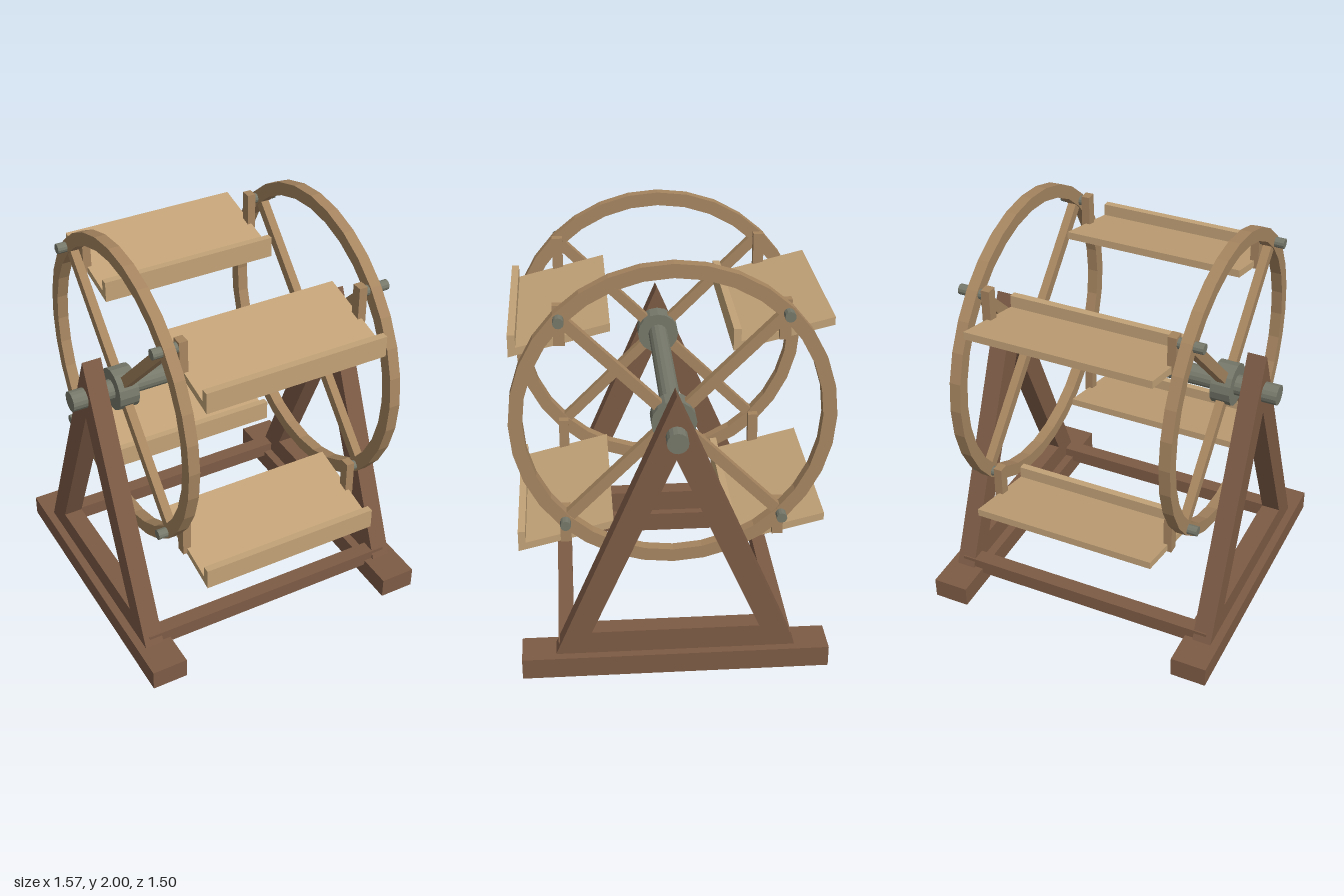
import * as THREE from 'three';

const mat = (color) => new THREE.MeshStandardMaterial({ color, flatShading: true });

export function createModel() {
  const root = new THREE.Group();
  const darkWood = mat(0x7d5b45), wood = mat(0xa68560), paleWood = mat(0xc2a277), metal = mat(0x76786a);
  const AXLE_Y = 1.25, PIN = 0.507;

  const add = (parent, name, geo, material, x = 0, y = 0, z = 0) => {
    const m = new THREE.Mesh(geo, material);
    m.name = name;
    m.position.set(x, y, z);
    parent.add(m);
    return m;
  };
  const box = (parent, name, material, w, h, d, x, y, z) =>
    add(parent, name, new THREE.BoxGeometry(w, h, d), material, x, y, z);
  // Cylinder lying along x
  const rod = (parent, name, r, len, sides, x, y, z) =>
    add(parent, name, new THREE.CylinderGeometry(r, r, len, sides).rotateZ(Math.PI / 2), metal, x, y, z);
  // Extrude a (z, y) outline along x, centred on x = 0
  const extrudeX = (shape, width) =>
    new THREE.ExtrudeGeometry(shape, { depth: width, bevelEnabled: false })
      .translate(0, 0, -width / 2).rotateY(-Math.PI / 2);
  const outline = (pts) => pts.map(([a, b]) => new THREE.Vector2(a, b));
  const circle = (r, n) => Array.from({ length: n }, (_, i) => {
    const a = Math.PI / 2 + (i / n) * Math.PI * 2;
    return new THREE.Vector2(Math.cos(a) * r, Math.sin(a) * r);
  });

  // Triangular trestle with an opening above its lower rail
  const trestle = new THREE.Shape(outline([[-0.575, 0.1], [0.575, 0.1], [0, 1.445]]));
  trestle.holes.push(new THREE.Path(outline([[-0.4, 0.22], [0, 1.13], [0.4, 0.22]])));
  const trestleGeo = extrudeX(trestle, 0.095);

  // Faceted wheel rim
  const rim = new THREE.Shape(circle(0.75, 32));
  rim.holes.push(new THREE.Path(circle(0.685, 32).reverse()));
  const rimGeo = extrudeX(rim, 0.055);

  // Sloping seat board with an upright front lip, relative to its pins
  const seatGeo = extrudeX(new THREE.Shape(outline([
    [0.23, -0.212], [0.23, -0.107], [0.195, -0.107], [0.195, -0.167], [-0.228, -0.062], [-0.228, -0.1],
  ])), 0.91);

  // Supports and wheels on both sides
  for (const s of [-1, 1]) {
    const support = new THREE.Group();
    support.name = 'sideSupport';
    root.add(support);
    box(support, 'foot', darkWood, 0.18, 0.105, 1.47, s * 0.66, 0.0525, 0);
    add(support, 'trestle', trestleGeo, darkWood, s * 0.662);

    const wheel = new THREE.Group();
    wheel.name = 'wheel';
    wheel.position.set(s * 0.522, AXLE_Y, 0);
    root.add(wheel);
    add(wheel, 'rim', rimGeo, wood);
    rod(wheel, 'hub', 0.105, 0.1, 16, 0, 0, 0);
    for (let i = 0; i < 2; i++) {
      const spoke = box(wheel, 'spokePair', wood, 0.042, 1.41, 0.052, 0, 0, 0);
      spoke.rotation.x = Math.PI / 4 + i * Math.PI / 2;
    }
  }

  // Axle and the two ties joining the trestles
  rod(root, 'axle', 0.05, 1.565, 16, 0, AXLE_Y, 0);
  for (const z of [-1, 1]) box(root, 'crossTie', darkWood, 1.36, 0.075, 0.075, 0, 0.115, z * 0.522);

  // Four seats hanging level from the rims
  for (const y of [-1, 1]) for (const z of [-1, 1]) {
    const seat = new THREE.Group();
    seat.name = 'hangingSeat';
    seat.position.set(0, AXLE_Y + y * PIN, z * PIN);
    root.add(seat);
    add(seat, 'seatBoard', seatGeo, paleWood);
    for (const s of [-1, 1]) {
      box(seat, 'hanger', wood, 0.042, 0.19, 0.052, s * 0.455, -0.06, 0);
      rod(seat, 'pin', 0.025, 0.15, 12, s * 0.522, 0, 0);
    }
  }
  return root;
}
